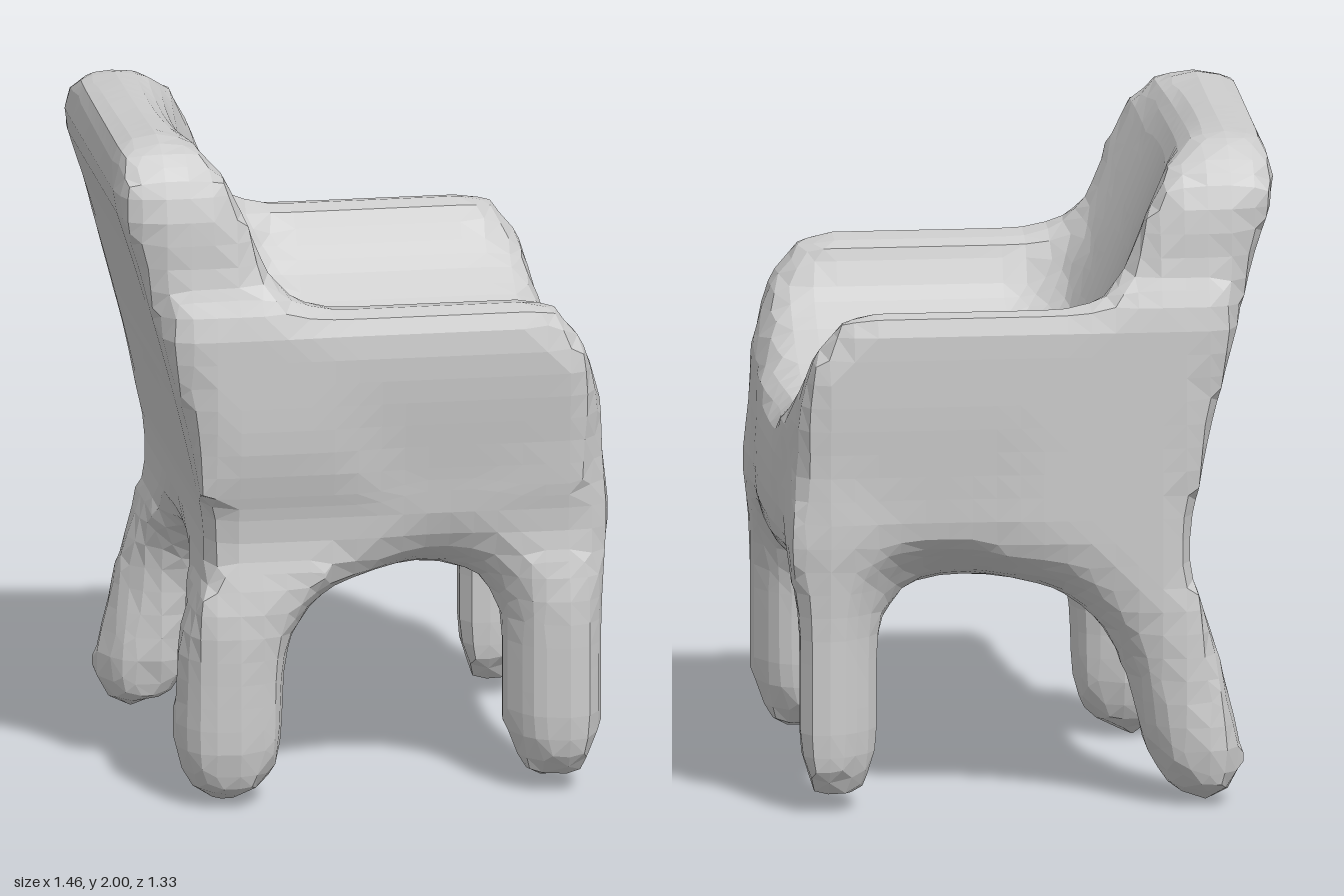
import * as THREE from 'three';

// Distance to a rounded box given as [min, max] per axis
function roundedBox(p, ranges, r) {
  const q = ranges.map(([lo, hi], i) => Math.abs(p[i] - (lo + hi) / 2) - (hi - lo) / 2 + r);
  return Math.hypot(...q.map(v => Math.max(v, 0))) + Math.min(Math.max(...q), 0) - r;
}

// Soft union of two distances
function blend(a, b, k) {
  const h = Math.max(k - Math.abs(a - b), 0) / k;
  return Math.min(a, b) - h * h * k / 4;
}

const bump = (y, centre, width) => Math.exp(-(((y - centre) / width) ** 2));

// Rear outline of the chair from seat to top
const rearLine = y => {
  const t = THREE.MathUtils.clamp(y - 0.85, 0, 0.97);
  return -0.475 - 0.2 * t - 0.07 * t * t;
};

// Seat block: dished top, bulging front, slightly arched underside
const seat = ([x, y, z]) => roundedBox([x, y, z], [
  [-0.43, 0.73 - 0.2 * (y - 0.85) ** 2 - 0.1 * z * z],
  [0.625 + 0.3 * z * z + 0.8 * Math.max(0, x - 0.45) ** 2, 1.135 + z * z],
  [-0.57, 0.57]], 0.12);

// Leaning backrest: hollow inner face, thicker towards the seat, drooping top corners
const backrest = ([x, y, z]) => 0.92 * roundedBox([x, y, z], [
  [rearLine(y), -0.47 + 0.4 * (1.9 - y) + 0.25 * z * z],
  [0.72, 1.99 + 0.03 * z - 3 * Math.max(0, Math.abs(z) - 0.4) ** 2],
  [-0.61, 0.61]], 0.095);

// Armrest with a top that falls away at the open end of the chair
const armrest = (inner, lowOuter, outer, r) => ([x, y, z]) => {
  const side = Math.sign(inner);
  const rise = THREE.MathUtils.smoothstep(y, 0.8, 1.35);
  return roundedBox([x, y, z * side], [
    [rearLine(y) + 0.03, 0.695],
    [0.78, 1.505 - 5 * Math.max(0, x - 0.48) ** 2],
    [inner * side, lowOuter + (outer - lowOuter) * rise]], r);
};

// Stubby leg: oval section turned towards its corner, rounded ends, optional splay
const leg = (cx, cz, along, across, foot, splay) => ([x, y, z]) => {
  const dx = (x - cx + splay * Math.max(0, 0.6 - y)) * Math.sign(cx);
  const dz = (z - cz) * Math.sign(cz);
  const u = (dx + dz) * Math.SQRT1_2 / along;
  const v = (dx - dz) * Math.SQRT1_2 / across;
  const w = Math.max(0, foot + 0.2 - y, y - 0.6) / 0.2;
  return (Math.hypot(u, v, w) - 1) * 0.135;
};

// [name, distance, softness of its joint]
const PARTS = [
  ['seat', seat, 0.1],
  ['frontArmrest', armrest(0.475, 0.61, 0.67, 0.08), 0.1],
  ['rearArmrest', armrest(-0.54, 0.645, 0.67, 0.06), 0.1],
  ['backrest', backrest, 0.14],
  ['leftFrontLeg', leg(0.56, 0.525, 0.16, 0.125, 0.02, 0), 0.23],
  ['leftRearLeg', leg(0.56, -0.525, 0.155, 0.1, 0.02, 0), 0.23],
  ['rightFrontLeg', leg(-0.39, 0.52, 0.16, 0.165, -0.005, 0.03), 0.3],
  ['rightRearLeg', leg(-0.38, -0.52, 0.16, 0.135, -0.005, 0.25), 0.3],
];

// All parts run together, with the outer faces planed to a waisted outline
const chair = p => {
  const [x, y, z] = p;
  return Math.max(
    PARTS.reduce((d, [, f, k]) => blend(d, f(p), k), 9),
    x - 0.7 - 0.03 * bump(y, 0.87, 0.2),
    rearLine(y) - 0.35 * Math.max(0, 0.7 - y) - x,
    z - 0.67 + 0.055 * bump(y, 0.82, 0.17),
    -z - 0.665);
};

// Facets the blended form on a coarse grid; returns quads of corner points
function facet(field, origin, step, size) {
  const [nx, ny, nz] = size;
  const id = (i, j, k) => (i * ny + j) * nz + k;
  const at = (...c) => c.map((v, a) => origin[a] + v * step);
  const value = new Float32Array(nx * ny * nz);
  const each = (lo, fn) => {
    for (let i = lo; i < nx - 1; i++)
      for (let j = lo; j < ny - 1; j++)
        for (let k = lo; k < nz - 1; k++) fn(i, j, k);
  };
  for (let i = 0; i < nx; i++)
    for (let j = 0; j < ny; j++)
      for (let k = 0; k < nz; k++) value[id(i, j, k)] = field(at(i, j, k));

  // One point per crossed cell: the mean of its edge crossings
  const points = new Map();
  each(0, (i, j, k) => {
    const sum = [0, 0, 0];
    let n = 0;
    for (let c = 0; c < 8; c++) {
      for (let a = 0; a < 3; a++) {
        if (c >> a & 1) continue;
        const o = [c & 1, c >> 1 & 1, c >> 2 & 1];
        const e = o.slice();
        e[a] = 1;
        const d0 = value[id(i + o[0], j + o[1], k + o[2])];
        const d1 = value[id(i + e[0], j + e[1], k + e[2])];
        if ((d0 < 0) === (d1 < 0)) continue;
        o[a] = d0 / (d0 - d1);
        o.forEach((v, s) => { sum[s] += v; });
        n++;
      }
    }
    if (n) points.set(id(i, j, k), at(i + sum[0] / n, j + sum[1] / n, k + sum[2] / n));
  });

  // One quad per crossed grid edge
  const quads = [];
  const stride = [ny * nz, nz, 1];
  each(1, (i, j, k) => {
    const c = id(i, j, k);
    for (let a = 0; a < 3; a++) {
      const inside = value[c] < 0;
      if (inside === (value[c + stride[a]] < 0)) continue;
      const b = stride[(a + 1) % 3], d = stride[(a + 2) % 3];
      const quad = [c, c - b, c - b - d, c - d].map(n => points.get(n));
      quads.push(inside ? quad : quad.reverse());
    }
  });
  return quads;
}

export function createModel() {
  const group = new THREE.Group();
  group.name = 'armchair';
  const gap = (a, b) => Math.hypot(a[0] - b[0], a[1] - b[1], a[2] - b[2]);

  // Sort each facet to the part it lies on, split along its shorter diagonal
  const corners = PARTS.map(() => []);
  for (const [a, b, c, d] of facet(chair, [-0.91, -0.14, -0.91], 0.07, [27, 34, 27])) {
    const mid = a.map((v, i) => (v + b[i] + c[i] + d[i]) / 4);
    const dist = PARTS.map(([, f]) => f(mid));
    const split = gap(a, c) < gap(b, d) ? [a, b, c, a, c, d] : [a, b, d, b, c, d];
    corners[dist.indexOf(Math.min(...dist))].push(...split);
  }

  const material = new THREE.MeshStandardMaterial({ color: 0xcccccc, flatShading: true });
  PARTS.forEach(([name], i) => {
    const geometry = new THREE.BufferGeometry();
    geometry.setAttribute('position', new THREE.Float32BufferAttribute(corners[i].flat(), 3));
    geometry.computeVertexNormals();
    const mesh = new THREE.Mesh(geometry, material);
    mesh.name = name;
    group.add(mesh);
  });
  return group;
}
